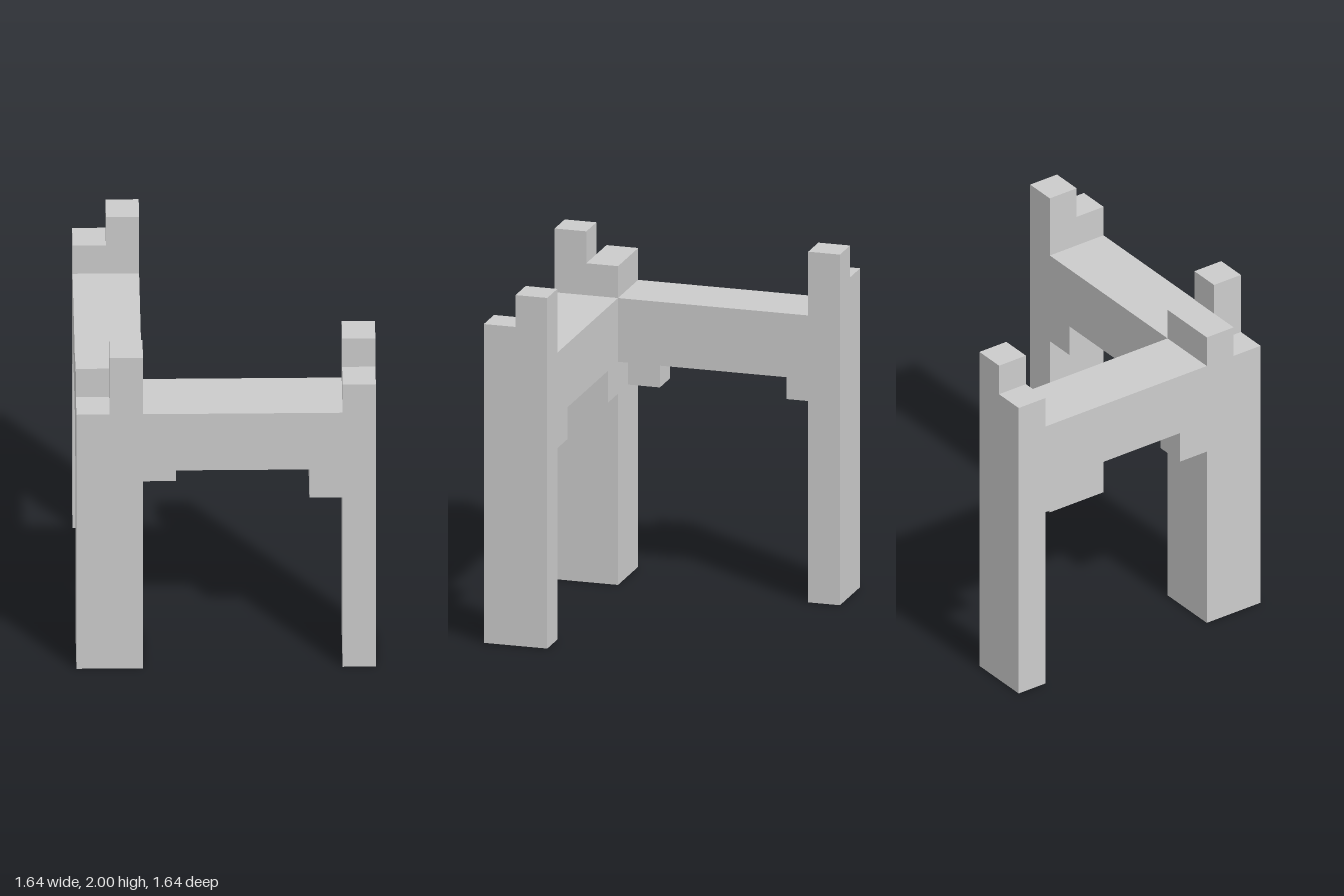
import * as THREE from 'three';

// The frame sits on a 9 x 11 x 9 block grid
const U = 2 / 11;
const material = new THREE.MeshStandardMaterial({ color: 0xcccccc, flatShading: true });

// Box between two grid corners: x and z run 0..9, y runs 0..11
function block(parent, name, [x0, y0, z0], [x1, y1, z1]) {
  const geometry = new THREE.BoxGeometry((x1 - x0) * U, (y1 - y0) * U, (z1 - z0) * U);
  const mesh = new THREE.Mesh(geometry, material);
  mesh.name = name;
  mesh.position.set(((x0 + x1) / 2 - 4.5) * U, ((y0 + y1) / 2) * U, ((z0 + z1) / 2 - 4.5) * U);
  parent.add(mesh);
}

function part(parent, name, blocks) {
  const group = new THREE.Group();
  group.name = name;
  for (const [label, from, to] of blocks) block(group, label, from, to);
  parent.add(group);
}

export function createModel() {
  const model = new THREE.Group();
  model.name = 'cornerFrame';

  // Square corner post with a stepped top
  part(model, 'cornerPost', [
    ['cornerPostShaft', [0, 0, 7], [2, 9, 9]],
    ['cornerPostStep', [0, 9, 7], [2, 10, 8]],
    ['cornerPostPeak', [1, 9, 8], [2, 11, 9]],
  ]);

  // Slim end posts, each one block thick with one raised half
  part(model, 'leftEndPost', [
    ['leftEndPostShaft', [8, 0, 7], [9, 10, 9]],
    ['leftEndPostPeak', [8, 10, 7], [9, 11, 8]],
  ]);
  part(model, 'backEndPost', [
    ['backEndPostShaft', [0, 0, 0], [2, 10, 1]],
    ['backEndPostPeak', [1, 10, 0], [2, 11, 1]],
  ]);

  // Beams joining the corner post to the end posts
  block(model, 'frontBeam', [2, 7, 7], [8, 9, 9]);
  block(model, 'sideBeam', [0, 7, 1], [2, 9, 7]);

  // Brackets under the beam ends
  part(model, 'brackets', [
    ['frontBeamCornerBracket', [2, 6, 7], [3, 7, 8]],
    ['frontBeamEndBracket', [7, 6, 7], [8, 7, 9]],
    ['sideBeamCornerBracket', [0, 6, 6], [1, 7, 7]],
    ['sideBeamEndBracket', [0, 6, 1], [1, 7, 2]],
  ]);

  return model;
}
